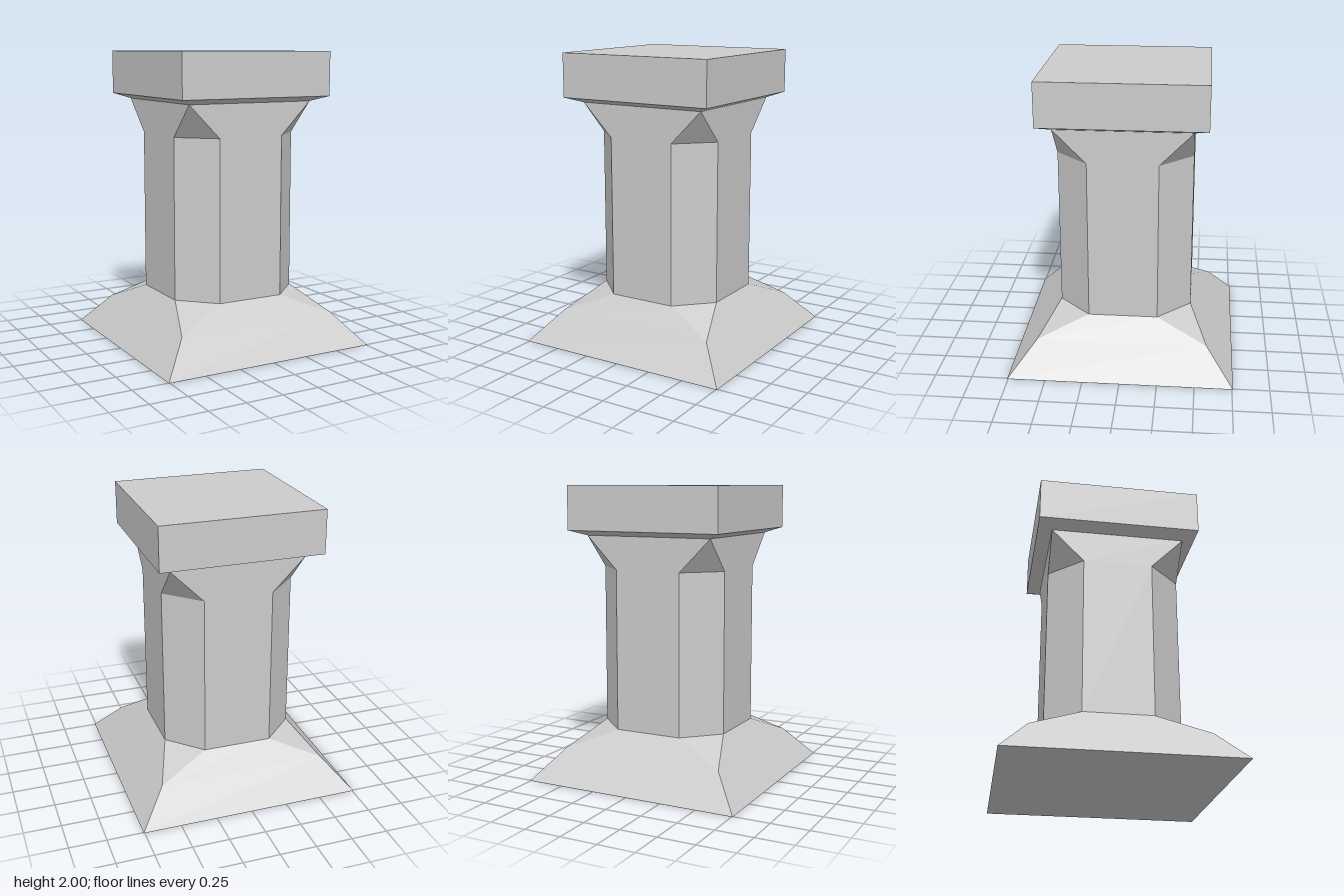
import * as THREE from 'three';

// Square ring of half-width s; c < s cuts the corners off.
function ring(y, s, c = s) {
  const points = [];
  let pair = [[-c, s], [c, s]];
  for (let side = 0; side < 4; side++) {
    pair.forEach(([x, z]) => points.push(new THREE.Vector3(x, y, z)));
    pair = pair.map(([x, z]) => [z, -x]);
  }
  return points;
}

// Faceted skin through a stack of rings, with optional end faces.
function loft(rings, closeBottom, closeTop) {
  const positions = [];
  const tri = (a, b, c) => {
    const area = b.clone().sub(a).cross(c.clone().sub(a)).length();
    if (area > 1e-6) [a, b, c].forEach((p) => positions.push(p.x, p.y, p.z));
  };
  for (let r = 0; r < rings.length - 1; r++) {
    const low = rings[r], high = rings[r + 1];
    for (let i = 0; i < 8; i++) {
      const j = (i + 1) % 8;
      tri(low[i], low[j], high[j]);
      tri(low[i], high[j], high[i]);
    }
  }
  const bottom = rings[0], top = rings[rings.length - 1];
  for (let i = 1; i < 7; i++) {
    if (closeBottom) tri(bottom[0], bottom[i + 1], bottom[i]);
    if (closeTop) tri(top[0], top[i], top[i + 1]);
  }
  const geometry = new THREE.BufferGeometry();
  geometry.setAttribute('position', new THREE.Float32BufferAttribute(positions, 3));
  geometry.computeVertexNormals();
  return geometry;
}

export function createModel() {
  const group = new THREE.Group();
  group.name = 'pillar';
  const stone = new THREE.MeshStandardMaterial({ color: 0xcccccc, flatShading: true });
  stone.name = 'grey stone';

  const add = (name, rings, closeBottom = false, closeTop = false) => {
    const mesh = new THREE.Mesh(loft(rings, closeBottom, closeTop), stone);
    mesh.name = name;
    group.add(mesh);
  };

  const half = 0.455, cut = 0.234;
  // Sloped foot, its corners cut where it meets the shaft
  add('base', [ring(0, 0.757), ring(0.212, 0.576), ring(0.354, half, cut)], true);
  // Chamfered shaft
  add('shaft', [ring(0.354, half, cut), ring(1.445, half, cut)]);
  // Chamfers running out to a full square
  add('shaftTop', [ring(1.445, half, cut), ring(1.668, half)]);
  // Bevelled underside and square block
  add('cap', [ring(1.668, half), ring(1.703, 0.55), ring(2, 0.55)], false, true);

  return group;
}
